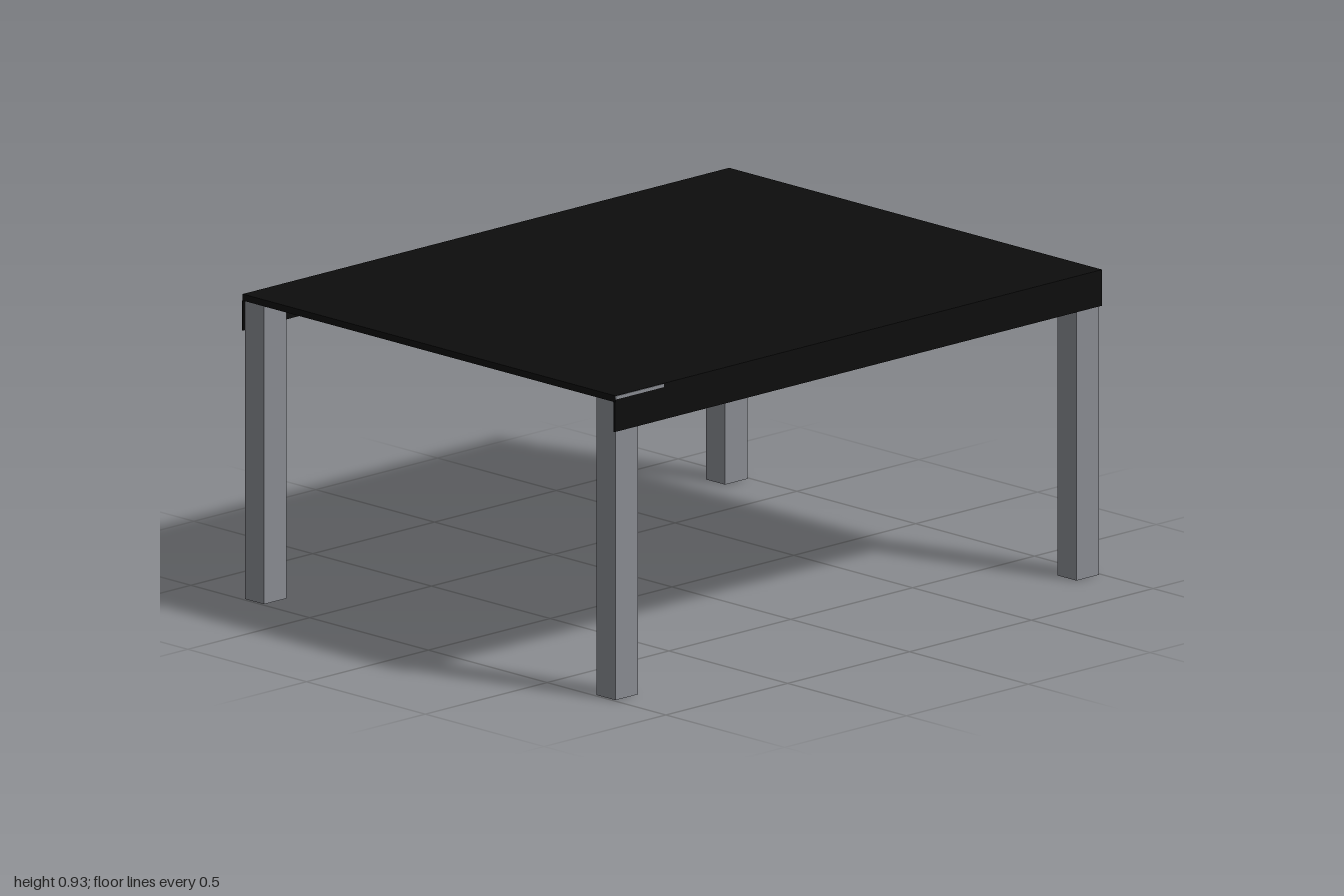
import * as THREE from 'three';

export function createModel() {
  const table = new THREE.Group();
  table.name = 'table';
  const black = new THREE.MeshStandardMaterial({ name: 'black', color: 0x0d0d0d });
  const grey = new THREE.MeshStandardMaterial({ name: 'metal grey', color: 0x888a91 });

  // Box given by its lower and upper limits on each axis
  function box(name, material, [x0, x1], [y0, y1], [z0, z1]) {
    const geometry = new THREE.BoxGeometry(x1 - x0, y1 - y0, z1 - z0);
    const mesh = new THREE.Mesh(geometry, material);
    mesh.name = name;
    mesh.position.set((x0 + x1) / 2, (y0 + y1) / 2, (z0 + z1) / 2);
    table.add(mesh);
  }

  // Thin top with aprons on both sides and the back; the front stays open
  box('tabletop', black, [-0.785, 0.785], [0.91, 0.93], [-1, 0.997]);
  box('leftApron', black, [0.78, 0.785], [0.82, 0.91], [-1, 1]);
  box('rightApron', black, [-0.785, -0.78], [0.82, 0.91], [-1, 1]);
  box('backApron', black, [-0.78, 0.78], [0.82, 0.91], [-1, -0.992]);

  // Small bare strip on the edge of the top, near the front corner
  box('edgeStrip', grey, [0.783, 0.787], [0.919, 0.929], [0.8, 0.997]);

  // Four square legs
  for (const [side, sx] of [['Left', 1], ['Right', -1]]) {
    for (const [end, sz] of [['front', 1], ['back', -1]]) {
      const x = [0.7 * sx, 0.78 * sx].sort((a, b) => a - b);
      const z = [0.9 * sz, 0.992 * sz].sort((a, b) => a - b);
      box(end + side + 'Leg', grey, x, [0, 0.91], z);
    }
  }
  return table;
}
